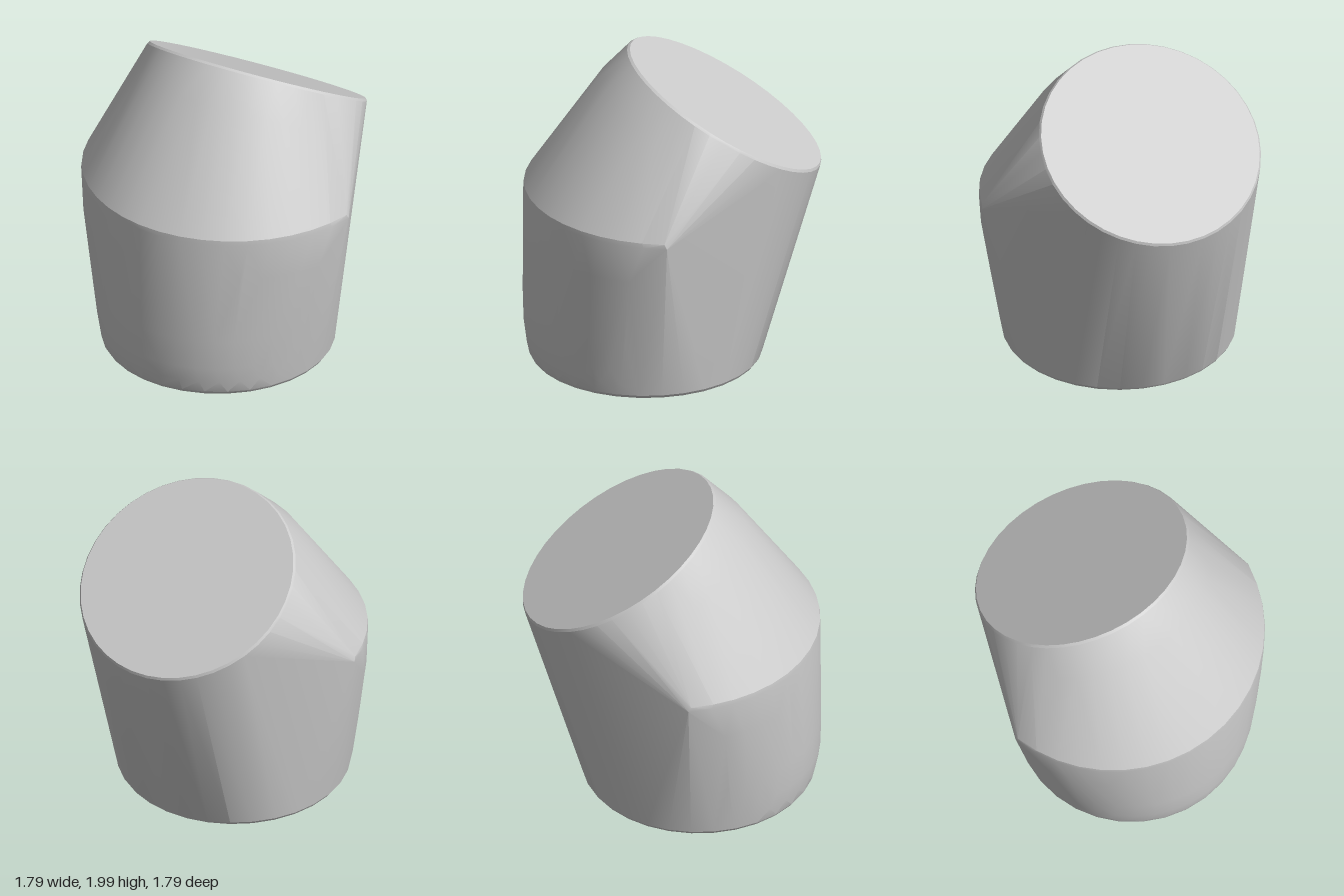
import * as THREE from 'three';
import { ConvexGeometry } from 'three/addons/geometries/ConvexGeometry.js';
import { toCreasedNormals } from 'three/addons/utils/BufferGeometryUtils.js';

const rad = THREE.MathUtils.degToRad;

// Everything is laid out in a local frame: +z is the bulging side,
// -z the side the top leans towards. The frame is then turned 45 degrees.
function arc(points, { y, z, r, half = 180, tilt = 0, n = 32 }) {
  const count = half === 180 ? n : n + 1;
  for (let i = 0; i < count; i++) {
    const a = rad(-half + (2 * half * i) / n);
    const c = r * Math.cos(a);
    points.push(new THREE.Vector3(
      r * Math.sin(a),
      y + c * Math.sin(tilt),
      z + c * Math.cos(tilt)
    ));
  }
}

export function createModel() {
  const points = [];

  // Flat base with a small rounded rim
  arc(points, { y: 0, z: 0.14, r: 0.705 });
  arc(points, { y: 0.02, z: 0.14, r: 0.718 });

  // Bulging lower wall, up to the crease around the waist
  arc(points, { y: 0.1, z: 0.145, r: 0.73, half: 80, n: 16 });
  arc(points, { y: 0.2, z: 0.145, r: 0.743, half: 75, n: 16 });
  arc(points, { y: 0.4, z: 0.1, r: 0.793, half: 70, n: 16 });
  arc(points, { y: 0.85, z: -0.025, r: 0.91, half: 65, n: 16 });
  arc(points, { y: 1.1, z: -0.042, r: 0.93, half: 79, n: 18 });
  arc(points, { y: 1.13, z: -0.042, r: 0.927, half: 78, n: 18 });

  // Tilted top disc: rings are placed down along its normal
  const tilt = rad(31.5);
  const topRing = (depth, r, half, n) => arc(points, {
    y: 1.635 - depth * Math.cos(tilt),
    z: -0.354 + depth * Math.sin(tilt),
    r, half, n, tilt
  });
  topRing(0.25, 0.752, 70, 16);
  topRing(0.015, 0.696, 180, 40);
  topRing(0, 0.685, 180, 40);

  // One convex skin over all the sections
  const geometry = toCreasedNormals(new ConvexGeometry(points), 0.35);
  geometry.rotateY(-Math.PI / 4);

  const body = new THREE.Mesh(geometry, new THREE.MeshStandardMaterial({ color: 0xcccccc }));
  body.name = 'body';

  const model = new THREE.Group();
  model.name = 'leaningBlock';
  model.add(body);
  return model;
}
